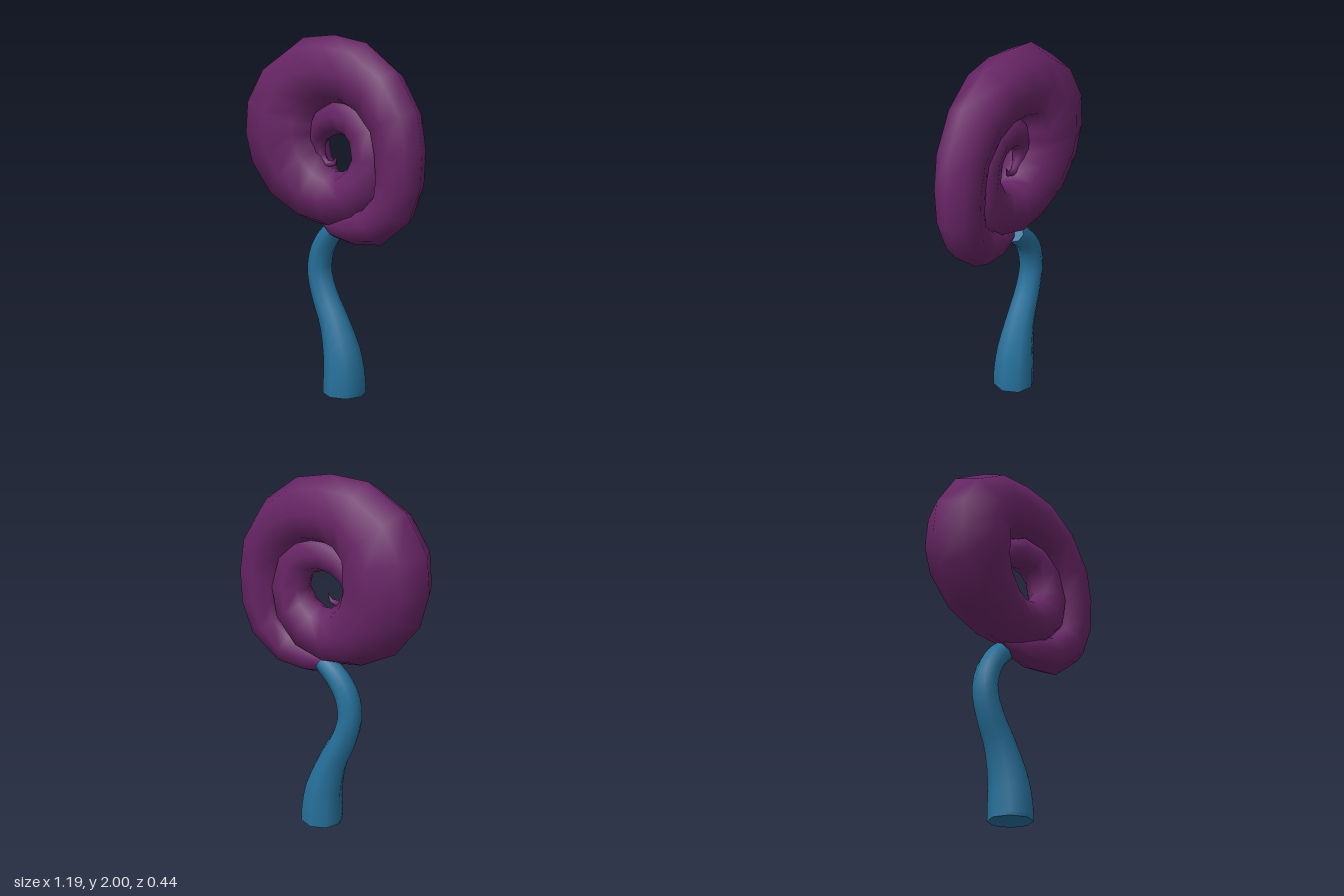
import * as THREE from 'three';

const SIDES = 8;

// Sweeps an octagonal section along [x, y, radius] rings lying in a plane of constant z.
function sweep(rings, depth, capped) {
  const pos = [], index = [];
  const ringPoints = rings.map(([x, y, r], i) => {
    const a = rings[Math.max(i - 1, 0)], b = rings[Math.min(i + 1, rings.length - 1)];
    const len = Math.hypot(b[0] - a[0], b[1] - a[1]);
    const nx = (b[1] - a[1]) / len, ny = -(b[0] - a[0]) / len;
    return Array.from({ length: SIDES }, (_, j) => {
      const t = (j / SIDES) * Math.PI * 2, c = r * Math.cos(t);
      return [x + nx * c, Math.max(0, y + ny * c), r * depth * Math.sin(t)];
    });
  });
  ringPoints.forEach((ring) => ring.forEach((p) => pos.push(...p)));
  for (let i = 0; i < rings.length - 1; i++) {
    for (let j = 0; j < SIDES; j++) {
      const k = (j + 1) % SIDES;
      const a = i * SIDES + j, b = i * SIDES + k, c = a + SIDES, d = b + SIDES;
      index.push(a, c, b, b, c, d);
    }
  }
  // Flat end caps with their own vertices, so the rims stay sharp
  if (capped) {
    [0, rings.length - 1].forEach((i) => {
      const base = pos.length / 3;
      pos.push(rings[i][0], rings[i][1], 0);
      ringPoints[i].forEach((p) => pos.push(...p));
      for (let j = 0; j < SIDES; j++) {
        const a = base + 1 + j, b = base + 1 + ((j + 1) % SIDES);
        if (i === 0) index.push(base, a, b);
        else index.push(base, b, a);
      }
    });
  }
  const geo = new THREE.BufferGeometry();
  geo.setAttribute('position', new THREE.Float32BufferAttribute(pos, 3));
  geo.setIndex(index);
  geo.computeVertexNormals();
  return geo;
}

// Smooths a ring list; the radius rides along as the third coordinate.
function smooth(rings, count) {
  const curve = new THREE.CatmullRomCurve3(rings.map((r) => new THREE.Vector3(...r)));
  return curve.getPoints(count).map((p) => p.toArray());
}

export function createModel() {
  const model = new THREE.Group();
  model.name = 'curledPlant';
  const purple = new THREE.MeshStandardMaterial({ color: 0x672565 });
  purple.name = 'purple';
  const blue = new THREE.MeshStandardMaterial({ color: 0x26709a });
  blue.name = 'blue';

  // Spiral head: from the outer tip under the curl, around twice, to the inner tip
  const spiral = [
    [-0.09, 0.97, 0.002], [0, 0.96, 0.06], [0.13, 0.975, 0.1], [0.28, 1.0, 0.115],
    [0.41, 1.11, 0.125], [0.45, 1.24, 0.135], [0.45, 1.4, 0.143], [0.42, 1.55, 0.15],
    [0.31, 1.7, 0.165], [0.16, 1.79, 0.18], [0, 1.81, 0.19], [-0.15, 1.79, 0.21],
    [-0.28, 1.7, 0.23], [-0.34, 1.58, 0.25], [-0.35, 1.46, 0.25], [-0.33, 1.36, 0.24],
    [-0.25, 1.23, 0.215], [-0.12, 1.14, 0.18], [0, 1.11, 0.158], [0.13, 1.14, 0.145],
    [0.23, 1.23, 0.13], [0.265, 1.35, 0.115], [0.23, 1.48, 0.11], [0.15, 1.55, 0.105],
    [0.04, 1.57, 0.1], [-0.06, 1.53, 0.085], [-0.12, 1.46, 0.065], [-0.128, 1.39, 0.05],
    [-0.1, 1.33, 0.035], [-0.05, 1.3, 0.022], [0, 1.31, 0.014], [0.02, 1.35, 0.002],
  ];
  const head = new THREE.Mesh(sweep(spiral, 0.88, false), purple);
  head.name = 'spiralHead';
  model.add(head);

  // Stem: S-curve set a little behind the head
  const path = [
    [0.027, 0, 0.122], [0.026, 0.08, 0.12], [0.01, 0.22, 0.108], [-0.05, 0.4, 0.085],
    [-0.12, 0.54, 0.075], [-0.16, 0.68, 0.07], [-0.14, 0.8, 0.068], [-0.085, 0.89, 0.065],
    [-0.02, 0.95, 0.06], [0.02, 0.98, 0.055],
  ];
  const stem = new THREE.Mesh(sweep(smooth(path, 22), 1, true), blue);
  stem.name = 'stem';
  stem.position.z = -0.055;
  model.add(stem);

  return model;
}
